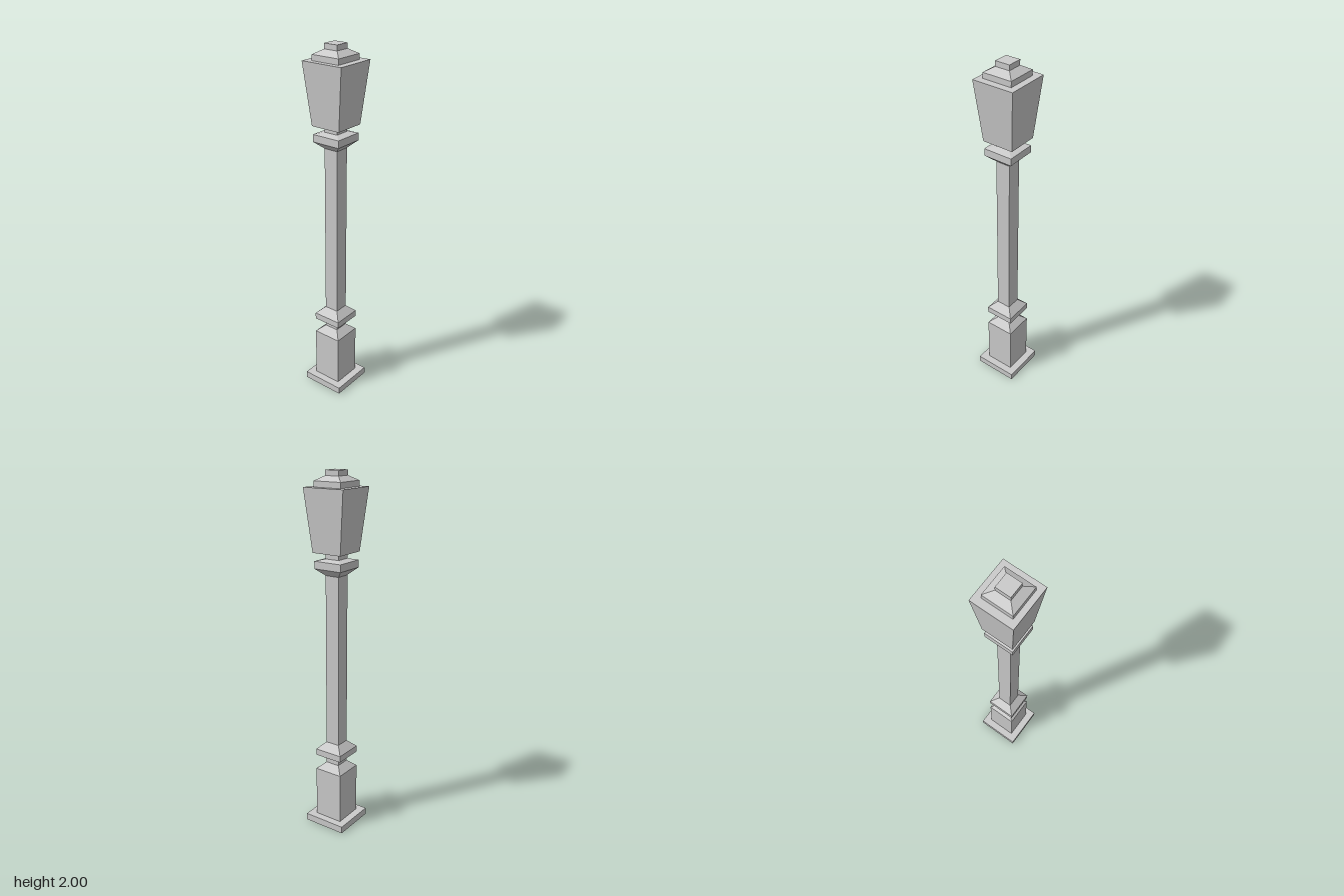
import * as THREE from 'three';

const material = new THREE.MeshStandardMaterial({ color: 0xcccccc, flatShading: true });

// Square block from y0 to y1, with half widths at the bottom and top
function block(name, y0, y1, bottom, top = bottom, bottomZ = bottom, topZ = top, z = 0) {
  const geo = new THREE.BoxGeometry(2, 1, 2).toNonIndexed();
  const p = geo.attributes.position;
  for (let i = 0; i < p.count; i++) {
    const up = p.getY(i) > 0;
    p.setXYZ(i, p.getX(i) * (up ? top : bottom), up ? y1 : y0, p.getZ(i) * (up ? topZ : bottomZ) + z);
  }
  geo.computeVertexNormals();
  const mesh = new THREE.Mesh(geo, material);
  mesh.name = name;
  return mesh;
}

export function createModel() {
  const group = new THREE.Group();
  group.name = 'lampPost';
  const slim = 0.041, wide = 0.083;

  group.add(
    // Foot and pedestal
    block('basePlate', 0, 0.04, 0.125),
    block('pedestal', 0.04, 0.335, wide),
    block('pedestalShoulder', 0.335, 0.372, wide, slim),
    block('lowerNeck', 0.372, 0.423, slim),
    // Collar and shaft
    block('collar', 0.423, 0.46, wide),
    block('collarShoulder', 0.46, 0.5, wide, slim),
    block('shaft', 0.5, 1.465, slim),
    // Capital under the lantern
    block('capitalFlare', 1.465, 1.503, slim, wide),
    block('capitalBand', 1.503, 1.543, wide),
    block('capitalTop', 1.543, 1.553, wide, slim),
    block('upperNeck', 1.553, 1.587, slim),
    // Lantern, a little shallower than wide at the top
    block('lantern', 1.587, 1.917, 0.087, 0.122, 0.088, 0.116, -0.003),
    // Roof and finial
    block('roofBase', 1.917, 1.947, wide),
    block('roofSlope', 1.947, 1.972, wide, slim),
    block('finial', 1.972, 2, slim)
  );
  return group;
}
